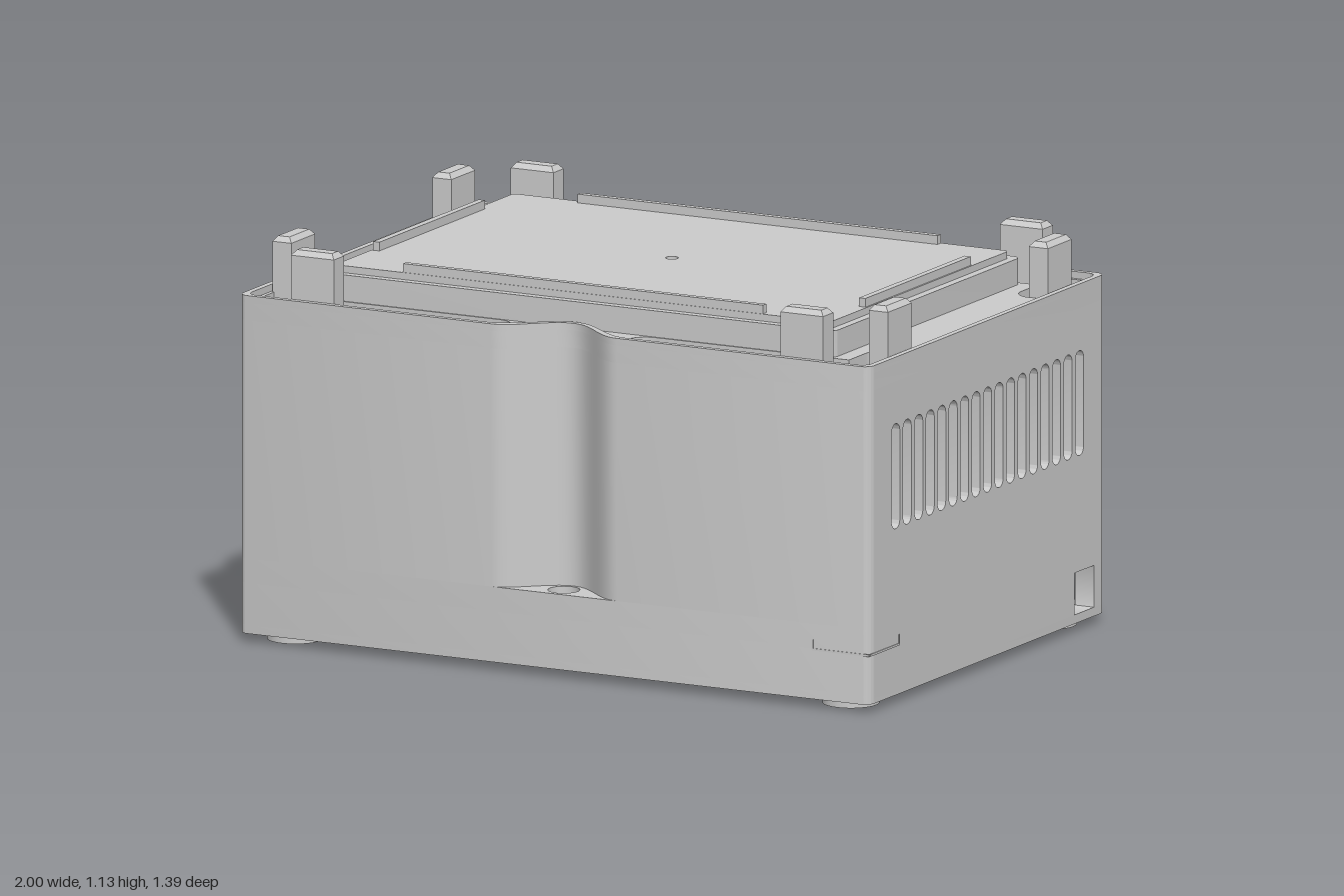
import * as THREE from 'three';
import { toCreasedNormals } from 'three/addons/utils/BufferGeometryUtils.js';

const W = 1, D = 0.695, R = 0.03;   // half width, half depth, corner radius
const PANEL = 0.06;                 // thickness of the vented side panels
const mat = new THREE.MeshStandardMaterial({ color: 0xcccccc });

// Plan outline (shape y = -z), optionally with channels, side recesses and a cut corner
function outline(inset, { channel, side, corner } = {}, S = new THREE.Shape()) {
  const w = W - inset, d = D - inset, e = d - R, hw = 0.2 + inset;
  const bell = (sign) => {
    if (!channel) return;
    for (let i = 0; i <= 32; i++) {
      const t = i / 16 - 1;
      S.lineTo(-sign * hw * t, sign * (d - 0.0575 * (1 + Math.cos(Math.PI * t))));
    }
  };
  const recess = (s) => {
    S.lineTo(s * w, -s * e);
    S.lineTo(s * (w - PANEL), -s * e);
    if (s < 0 || !corner) {
      S.lineTo(s * (w - PANEL), s * e);
      S.lineTo(s * w, s * e);
    }
  };
  S.moveTo(-w + R, -d);
  bell(-1);
  S.lineTo(w - R, -d);
  S.absarc(w - R, -d + R, R, -Math.PI / 2, 0, false);
  if (side) recess(1);
  if (corner) S.absarc(W, D, 0.185, -Math.PI + Math.acos(PANEL / 0.185), -Math.PI, true);
  else S.absarc(w - R, d - R, R, 0, Math.PI / 2, false);
  bell(1);
  S.lineTo(-w + R, d);
  S.absarc(-w + R, d - R, R, Math.PI / 2, Math.PI, false);
  if (side) recess(-1);
  S.absarc(-w + R, -d + R, R, Math.PI, Math.PI * 1.5, false);
  return S;
}

const circle = (x, y, r) => new THREE.Path().absarc(x, y, r, 0, Math.PI * 2, false);

function roundRect(x0, y0, x1, y1, r, P = THREE.Shape) {
  const p = new P();
  p.moveTo(x0 + r, y0);
  p.absarc(x1 - r, y0 + r, r, -Math.PI / 2, 0, false);
  p.absarc(x1 - r, y1 - r, r, 0, Math.PI / 2, false);
  p.absarc(x0 + r, y1 - r, r, Math.PI / 2, Math.PI, false);
  p.absarc(x0 + r, y0 + r, r, Math.PI, Math.PI * 1.5, false);
  return p;
}

// L-shaped pocket around one top corner
function pocket(sx, sy) {
  const p = new THREE.Path();
  p.moveTo(0.245, 0.555);
  p.lineTo(0.86, 0.555);
  p.lineTo(0.86, 0.455);
  p.absarc(0.915, 0.455, 0.055, Math.PI, Math.PI * 2, false);
  p.absarc(0.935, 0.63, 0.035, 0, Math.PI / 2, false);
  p.absarc(0.245, 0.61, 0.055, Math.PI / 2, Math.PI * 1.5, false);
  return new THREE.Path(p.getPoints(10).map((v) => new THREE.Vector2(v.x * sx, v.y * sy)));
}

const corners = [[1, 1], [-1, 1], [-1, -1], [1, -1]];

export function createModel() {
  const model = new THREE.Group();
  const add = (name, geo, x = 0, y = 0, z = 0) => {
    const m = new THREE.Mesh(geo, mat);
    m.name = name;
    m.position.set(x, y, z);
    model.add(m);
    return m;
  };
  const extrude = (shape, depth) => toCreasedNormals(
    new THREE.ExtrudeGeometry(shape, { depth, bevelEnabled: false, curveSegments: 12 }), 0.5);
  const layer = (name, shape, y0, y1, holes = []) => {
    shape.holes.push(...holes);
    return add(name, extrude(shape, y1 - y0).rotateX(-Math.PI / 2), 0, y0, 0);
  };
  const box = (name, w, h, d, x, y, z) => add(name, new THREE.BoxGeometry(w, h, d), x, y, z);
  const bolts = (r) => [circle(0, 0.635, r), circle(0, -0.635, r)];

  // Body, stacked from the base plate up to the rim
  const screws = [[0.96, 0.24], [0.96, 0.39], [0.45, 0.66], [0.29, 0.66],
    [-0.64, 0.65], [0.65, -0.64], [-0.65, -0.64]].map(([x, y]) => circle(x, y, 0.025));
  layer('basePlate', outline(0), 0.025, 0.05, [...bolts(0.03), ...screws]);
  layer('lowerBody', outline(0, { side: true, corner: true }), 0.05, 0.17, bolts(0.03));
  layer('channelFloor', outline(0, { side: true }), 0.17, 0.24, bolts(0.045));
  layer('mainBody', outline(0, { side: true, channel: true }), 0.24, 0.92);
  layer('topDeck', outline(0, { channel: true }), 0.92, 0.97, corners.map(([a, b]) => pocket(a, b)));
  layer('rim', outline(0, { channel: true }), 0.97, 0.99,
    [outline(0.018, { channel: true }, new THREE.Path())]);

  // Post left standing in the cut corner
  const post = new THREE.Shape();
  post.moveTo(W, D - 0.07);
  post.lineTo(W, D - R);
  post.absarc(W - R, D - R, R, 0, Math.PI / 2, false);
  post.lineTo(W - 0.07, D);
  post.absarc(W, D, 0.07, Math.PI, Math.PI * 1.5, false);
  layer('cornerPost', post, 0.05, 0.17);

  // Vented side panels (shape x = -z)
  const panel = (name, x, count, pitch, y0, y1, extra = []) => {
    const e = D - R, s = roundRect(-e, 0.05, e, 0.92, 0.0001);
    for (let i = 0; i < count; i++) {
      const u = (i - (count - 1) / 2) * pitch;
      s.holes.push(roundRect(u - 0.024, y0, u + 0.024, y1, 0.0235, THREE.Path));
    }
    s.holes.push(...extra);
    add(name, extrude(s, PANEL).rotateY(Math.PI / 2), x, 0, 0);
  };
  panel('rightVentPanel', W - PANEL, 17, 0.0675, 0.5, 0.8,
    [roundRect(0.51, 0.0505, 0.625, 0.17, 0.0001, THREE.Path)]);
  panel('leftVentPanel', -W, 20, 0.067, 0.095, 0.335);

  // Stepped lid plate with ribs along its edges
  layer('lidBase', roundRect(-0.81, -0.55, 0.81, 0.55, 0.025), 0.97, 1.045);
  layer('lidTop', roundRect(-0.785, -0.525, 0.785, 0.525, 0.015), 1.045, 1.065, [circle(0, 0, 0.018)]);
  for (const s of [1, -1]) {
    box('longRib', 1.14, 0.035, 0.02, 0, 1.0725, s * 0.513);
    box('shortRib', 0.02, 0.035, 0.62, s * 0.77, 1.0725, 0);
  }

  // Upright clips with chamfered tops
  const clip = (w, d) => {
    const h = 0.23, g = new THREE.BoxGeometry(w, h, d, 1, 2, 1), p = g.attributes.position;
    for (let i = 0; i < p.count; i++) {
      if (Math.abs(p.getY(i)) < 0.01) p.setY(i, h / 2 - 0.015);
      else if (p.getY(i) > 0) {
        p.setX(i, p.getX(i) - Math.sign(p.getX(i)) * 0.012);
        p.setZ(i, p.getZ(i) - Math.sign(p.getZ(i)) * 0.012);
      }
    }
    const flat = g.toNonIndexed();
    flat.computeVertexNormals();
    return flat;
  };
  for (const [sx, sz] of corners) {
    add('longSideClip', clip(0.135, 0.06), sx * 0.775, 1.015, sz * 0.645);
    add('shortSideClip', clip(0.06, 0.14), sx * 0.945, 1.015, sz * 0.47);
    add('foot', new THREE.CylinderGeometry(0.08, 0.08, 0.026, 32), sx * 0.88, 0.013, sz * 0.58);
  }

  // Fine seam around the front corner
  box('seamFront', 0.18, 0.006, 0.004, 0.91, 0.167, D);
  box('seamFrontEnd', 0.006, 0.03, 0.004, 0.82, 0.18, D);
  box('seamSide', 0.004, 0.006, 0.17, W, 0.167, 0.607);
  box('seamSideEnd', 0.004, 0.03, 0.006, W, 0.18, 0.522);
  return model;
}
